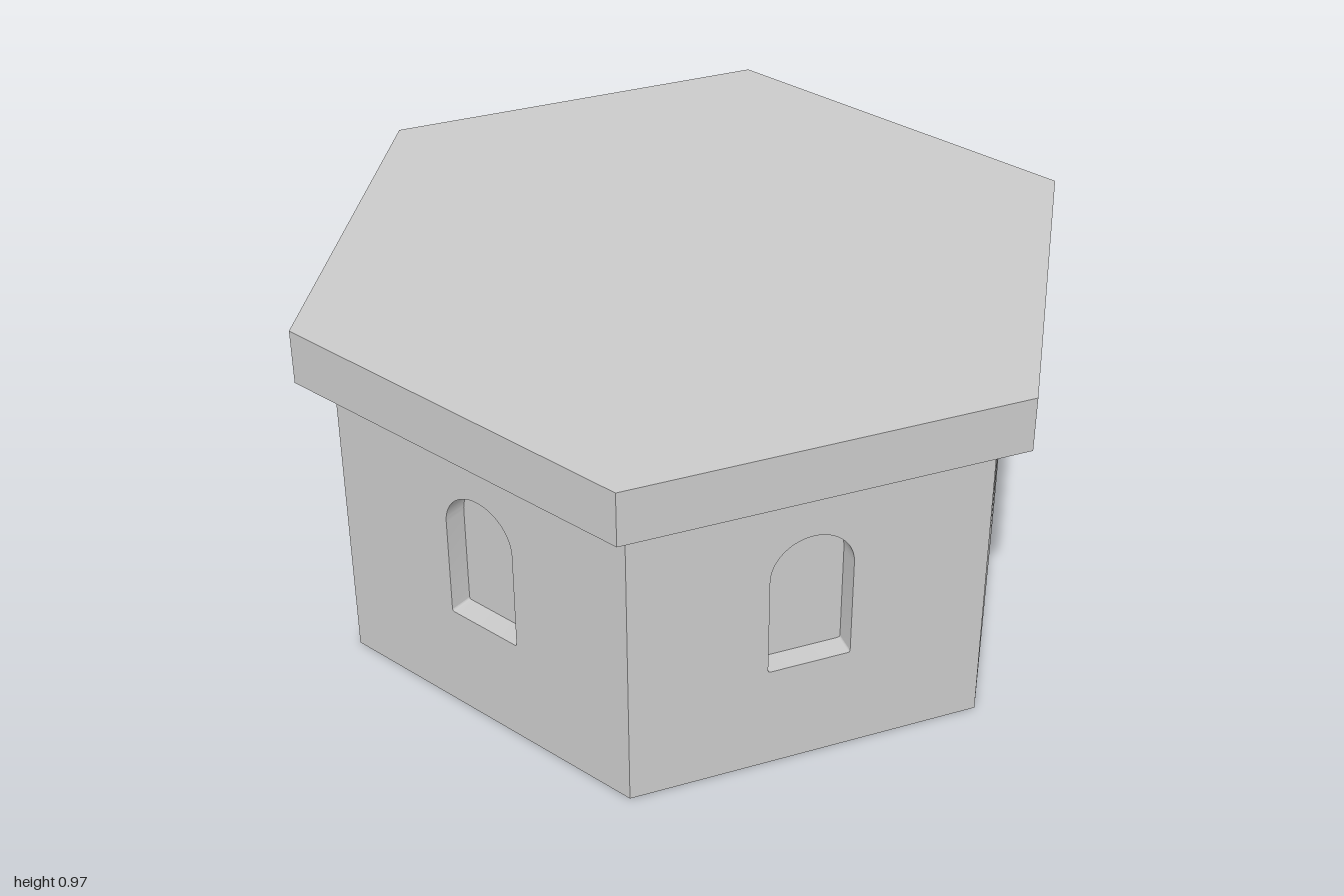
import * as THREE from 'three';
import { toCreasedNormals } from 'three/addons/utils/BufferGeometryUtils.js';

const APOTHEM = 0.785;      // centre to wall face
const DEPTH = 0.06;         // window recess
const WALL_H = 0.825;
const ROOF_H = 0.145;
const halfSide = (apothem) => apothem / Math.sqrt(3);

const grey = new THREE.MeshStandardMaterial({ color: 0xcccccc });
const flatGrey = new THREE.MeshStandardMaterial({ color: 0xcccccc, flatShading: true });

// Hexagonal prism with corners on the x axis
function hexPrism(name, radius, height, y) {
  const geometry = new THREE.CylinderGeometry(radius, radius, height, 6, 1, false, Math.PI / 6);
  const mesh = new THREE.Mesh(geometry, flatGrey);
  mesh.name = name;
  mesh.position.y = y + height / 2;
  return mesh;
}

// Round-headed opening with slightly eased lower corners
function archedOpening() {
  const w = 0.105, bottom = 0.285, spring = 0.555, r = 0.007;
  const path = new THREE.Path();
  path.moveTo(-w + r, bottom);
  path.lineTo(w - r, bottom);
  path.quadraticCurveTo(w, bottom, w, bottom + r);
  path.lineTo(w, spring);
  path.absarc(0, spring, w, 0, Math.PI, false);
  path.lineTo(-w, bottom + r);
  path.quadraticCurveTo(-w, bottom, -w + r, bottom);
  return path;
}

// Wall slab with a window hole, its ends mitred to meet the neighbouring slabs
function wallGeometry() {
  const outer = halfSide(APOTHEM), inner = halfSide(APOTHEM - DEPTH);
  const shape = new THREE.Shape();
  shape.moveTo(-outer, 0);
  shape.lineTo(outer, 0);
  shape.lineTo(outer, WALL_H);
  shape.lineTo(-outer, WALL_H);
  shape.closePath();
  shape.holes.push(archedOpening());
  const geometry = new THREE.ExtrudeGeometry(shape, { depth: DEPTH, bevelEnabled: false, curveSegments: 24 });
  const p = geometry.attributes.position;
  for (let i = 0; i < p.count; i++) {
    const x = p.getX(i);
    if (p.getZ(i) < DEPTH / 2 && Math.abs(x) > outer - 0.001) p.setX(i, Math.sign(x) * inner);
  }
  geometry.translate(0, 0, APOTHEM - DEPTH);
  return toCreasedNormals(geometry, Math.PI / 6);
}

export function createModel() {
  const group = new THREE.Group();
  group.name = 'hexagonalTower';

  // Core closes the back of the blind windows
  group.add(hexPrism('core', 2 * halfSide(APOTHEM - DEPTH), WALL_H, 0));

  // Six walls, each with a recessed window
  const wall = wallGeometry();
  for (let i = 0; i < 6; i++) {
    const mesh = new THREE.Mesh(wall, grey);
    mesh.name = `wall${i + 1}`;
    mesh.rotation.y = (i * Math.PI) / 3;
    group.add(mesh);
  }

  // Overhanging flat roof
  group.add(hexPrism('roof', 1, ROOF_H, WALL_H));
  return group;
}
